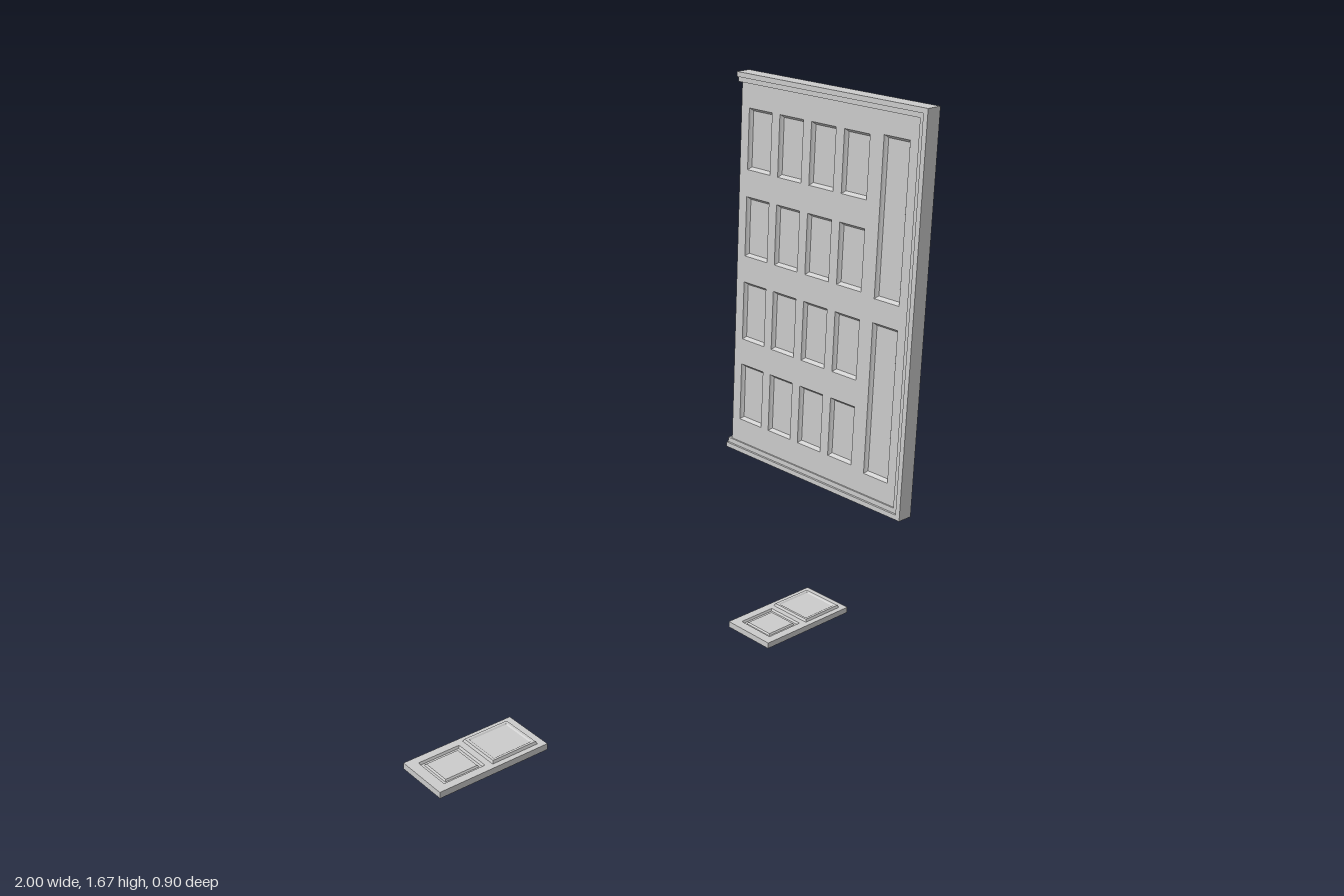
import * as THREE from 'three';

const grey = new THREE.MeshStandardMaterial({ color: 0xcccccc, side: THREE.DoubleSide, flatShading: true });

function add(parent, name, geometry, x = 0, y = 0, z = 0) {
  const mesh = new THREE.Mesh(geometry, grey);
  mesh.name = name;
  mesh.position.set(x, y, z);
  parent.add(mesh);
  return mesh;
}

function box(parent, name, x0, x1, y0, y1, z0, z1) {
  return add(parent, name, new THREE.BoxGeometry(x1 - x0, y1 - y0, z1 - z0),
    (x0 + x1) / 2, (y0 + y1) / 2, (z0 + z1) / 2);
}

// Flat board from rectangle [x0, x1, y0, y1] with rectangular openings
function boardGeometry(outer, openings, depth) {
  const trace = (path, [x0, x1, y0, y1]) => {
    path.moveTo(x0, y0);
    path.lineTo(x1, y0);
    path.lineTo(x1, y1);
    path.lineTo(x0, y1);
    path.closePath();
    return path;
  };
  const shape = trace(new THREE.Shape(), outer);
  shape.holes = openings.map((o) => trace(new THREE.Path(), o));
  return new THREE.ExtrudeGeometry(shape, { depth, bevelEnabled: false });
}

// Moulded panel: nested rectangles given as [inset, height], closed by a flat field
function panelGeometry(width, height, steps) {
  const rings = steps.map(([inset, z]) => {
    const a = width / 2 - inset, b = height / 2 - inset;
    return [[-a, -b, z], [a, -b, z], [a, b, z], [-a, b, z]];
  });
  const positions = [];
  const quad = (a, b, c, d) => positions.push(...a, ...b, ...c, ...a, ...c, ...d);
  for (let r = 0; r < rings.length - 1; r++) {
    for (let i = 0; i < 4; i++) {
      const j = (i + 1) % 4;
      quad(rings[r][i], rings[r][j], rings[r + 1][j], rings[r + 1][i]);
    }
  }
  quad(...rings[rings.length - 1]);
  const geometry = new THREE.BufferGeometry();
  geometry.setAttribute('position', new THREE.Float32BufferAttribute(positions, 3));
  geometry.computeVertexNormals();
  return geometry;
}

// Upright door with two tall panels and a four by four grid of small ones
function createDoor() {
  const door = new THREE.Group();
  door.name = 'door';
  const half = 0.016;
  const openings = [[-0.34, -0.23, 0.355, 0.915], [-0.34, -0.23, 1.0, 1.56]];
  for (let col = 0; col < 4; col++) {
    for (let row = 0; row < 4; row++) {
      const x = -0.17 + col * 0.151, y = 0.367 + row * 0.321;
      openings.push([x, x + 0.113, y, y + 0.222]);
    }
  }
  add(door, 'doorSlab', boardGeometry([-0.39, 0.435, 0.27, 1.645], openings, half * 2), 0, 0, -half);

  // Sunken panels on both faces
  openings.forEach(([x0, x1, y0, y1], i) => {
    const geometry = panelGeometry(x1 - x0, y1 - y0, [[0, half], [0.004, half - 0.006], [0.01, half - 0.012]]);
    for (const turn of [0, Math.PI]) {
      const panel = add(door, i < 2 ? 'tallPanel' : 'smallPanel', geometry, (x0 + x1) / 2, (y0 + y1) / 2, 0);
      panel.rotation.y = turn;
    }
  });

  // Stepped casing on the top, the bottom and one side
  for (const [name, inset, depth] of [['outerCasing', 0, 0.03], ['innerCasing', 0.018, 0.022]]) {
    const left = -0.415 + inset, top = 1.675 - inset, bottom = 0.24 + inset, t = 0.018;
    box(door, name + 'Top', left, 0.45, top - t, top, -depth, depth);
    box(door, name + 'Bottom', left, 0.45, bottom, bottom + t, -depth, depth);
    box(door, name + 'Side', left, left + t, bottom + t, top - t, -depth, depth);
  }
  door.rotation.y = Math.PI / 2;
  door.position.x = 0.97;
  return door;
}

// Small board lying flat, with one low and one raised panel
function createSmallBoard(name, x, z) {
  const board = new THREE.Group();
  board.name = name;
  const openings = [[-0.155, -0.015, -0.065, 0.065], [0.005, 0.165, -0.075, 0.075]];
  add(board, 'boardFrame', boardGeometry([-0.188, 0.188, -0.0925, 0.0925], openings, 0.02));
  const profiles = [
    [[0, 0.02], [0.004, 0.013], [0.012, 0.013], [0.016, 0.018]],
    [[0, 0.02], [0.004, 0.028], [0.012, 0.028], [0.016, 0.025]],
  ];
  openings.forEach(([x0, x1, y0, y1], i) => {
    add(board, i ? 'raisedPanel' : 'lowPanel', panelGeometry(x1 - x0, y1 - y0, profiles[i]),
      (x0 + x1) / 2, (y0 + y1) / 2, 0);
    // Underside of the opening
    const back = add(board, 'panelBack', panelGeometry(x1 - x0, y1 - y0, [[0, 0], [0.006, -0.008]]),
      (x0 + x1) / 2, (y0 + y1) / 2, 0);
    back.rotation.y = Math.PI;
  });
  board.rotation.x = -Math.PI / 2;
  board.position.set(x, 0, z);
  return board;
}

export function createModel() {
  const model = new THREE.Group();
  model.name = 'panelledDoorSet';
  model.add(createDoor());
  model.add(createSmallBoard('leftBoard', 0.468, 0.358));
  model.add(createSmallBoard('rightBoard', -0.812, 0.358));
  return model;
}
